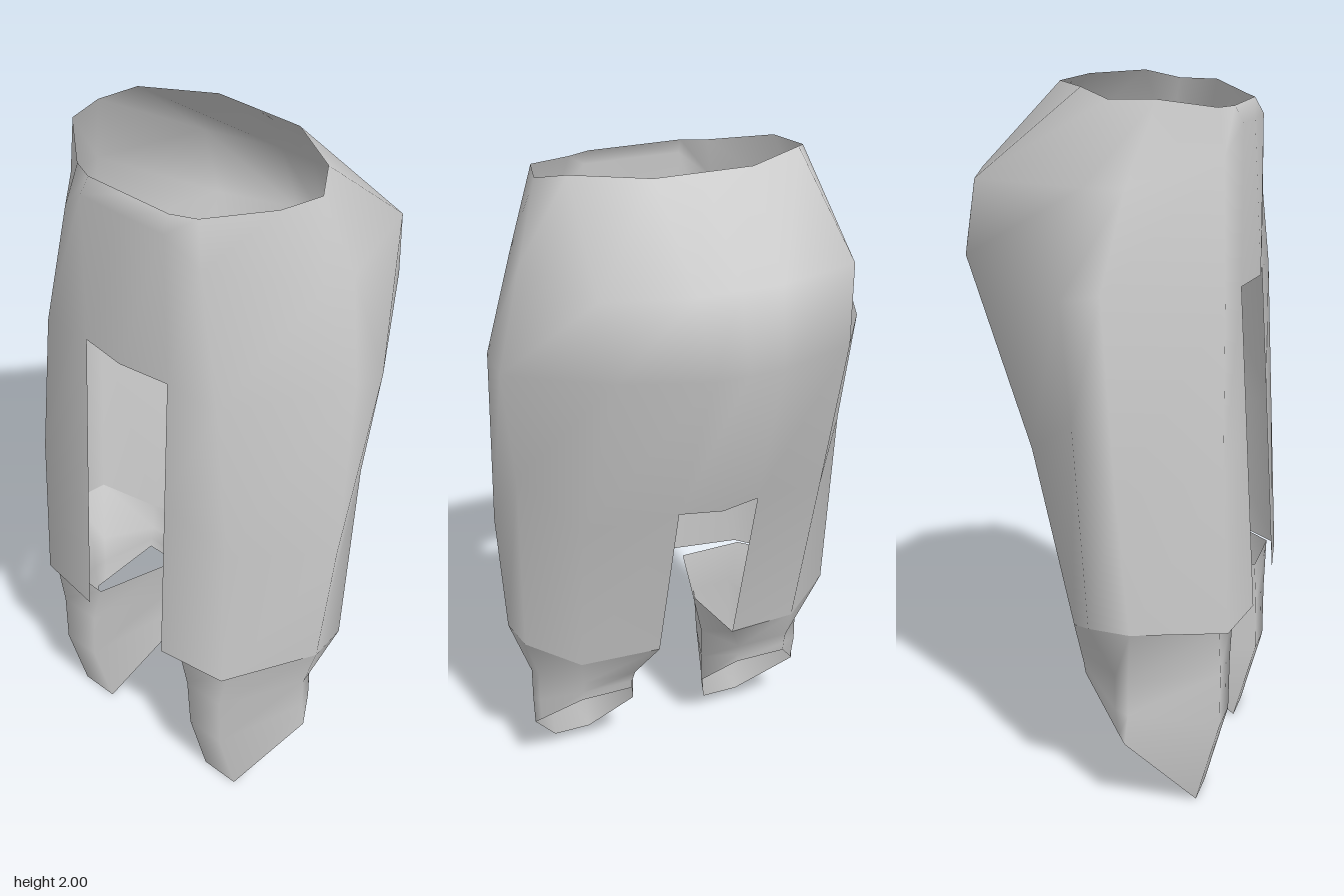
import * as THREE from 'three';

const grey = new THREE.MeshStandardMaterial({ color: 0xcccccc, side: THREE.DoubleSide });
grey.name = 'plain grey';

// Smooth shell through closed rings of [x, y, z] points, top to bottom.
// A null point leaves an opening in the shell.
function shell(name, rings) {
  const n = rings[0].length, pos = [], index = [], id = [];
  rings.flat().forEach((p) => {
    id.push(p ? pos.length / 3 : -1);
    if (p) pos.push(...p);
  });
  for (let r = 0; r < rings.length - 1; r++) {
    for (let c = 0; c < n; c++) {
      const k = (c + 1) % n;
      const [a, b, d, e] = [r * n + c, r * n + k, (r + 1) * n + c, (r + 1) * n + k].map((i) => id[i]);
      if (Math.min(a, b, d, e) >= 0) index.push(a, d, b, b, d, e);
    }
  }
  const g = new THREE.BufferGeometry();
  g.setAttribute('position', new THREE.Float32BufferAttribute(pos, 3));
  g.setIndex(index);
  g.computeVertexNormals();
  const mesh = new THREE.Mesh(g, grey);
  mesh.name = name;
  return mesh;
}

const flipX = (p) => p && [-p[0], p[1], p[2]];

// Half ring from front centre to back centre, completed by mirroring
const fullRing = (half) => [...half, ...half.slice(1, -1).reverse().map(flipX)];

export function createModel() {
  const model = new THREE.Group();
  model.name = 'trousers';

  // Waist, hips and thighs, with a slit at front and back
  const halves = [
    // waist rim
    [[0, 1.945, 0.345], [0.14, 1.945, 0.345], [0.21, 1.945, 0.315], [0.36, 1.975, 0.19],
      [0.39, 1.975, 0.07], [0.33, 2, -0.02], [0.14, 2, -0.135], [0, 2, -0.135]],
    // upper hips
    [[0, 1.9, 0.373], [0.145, 1.9, 0.37], [0.24, 1.82, 0.34], [0.45, 1.76, 0.13],
      [0.46, 1.76, 0.02], [0.36, 1.76, -0.305], [0.12, 1.76, -0.37], [0, 1.76, -0.37]],
    // widest line
    [[0, 1.47, 0.4], [0.15, 1.465, 0.375], [0.315, 1.45, 0.365], [0.54, 1.5, 0.09],
      [0.54, 1.48, -0.02], [0.335, 1.55, -0.345], [0.1, 1.55, -0.43], [0, 1.55, -0.43]],
    // thighs
    [null, [0.15, 1.08, 0.398], [0.36, 1.0, 0.378], [0.54, 0.96, 0.13],
      [0.505, 1.15, 0], [0.37, 1.03, -0.155], [0.12, 1.08, -0.25], [0, 1.08, -0.28]],
    // hem
    [null, [0.15, 0.54, 0.43], [0.36, 0.54, 0.4], [0.51, 0.57, 0.16],
      [0.495, 0.57, 0.04], [0.35, 0.51, -0.045], [0.12, 0.54, -0.1], null],
  ];
  model.add(shell('hipsAndThighs', halves.map(fullRing)));

  // Lower legs: open tubes joined to the hem and cut on a slant at the bottom
  const leg = [
    [[0.16, 0.54, 0.375], [0.36, 0.545, 0.375], [0.51, 0.57, 0.16], [0.495, 0.57, 0.04],
      [0.35, 0.51, -0.045], [0.12, 0.54, -0.1], [0.09, 0.54, 0.13]],
    [[0.2, 0.4, 0.375], [0.33, 0.4, 0.375], [0.45, 0.4, 0.14], [0.44, 0.41, 0.1],
      [0.34, 0.43, -0.03], [0.175, 0.43, -0.035], [0.12, 0.4, 0.13]],
    [[0.21, 0.24, 0.375], [0.33, 0.24, 0.375], [0.45, 0.3, 0.14], [0.44, 0.31, 0.1],
      [0.34, 0.39, -0.02], [0.18, 0.39, -0.02], [0.12, 0.3, 0.13]],
    [[0.21, 0, 0.31], [0.33, 0, 0.31], [0.45, 0.21, 0.13], [0.435, 0.23, 0.11],
      [0.34, 0.36, -0.015], [0.18, 0.36, -0.015], [0.12, 0.21, 0.13]],
  ];
  model.add(shell('leftLowerLeg', leg));
  model.add(shell('rightLowerLeg', leg.map((ring) => ring.map(flipX).reverse())));
  return model;
}
